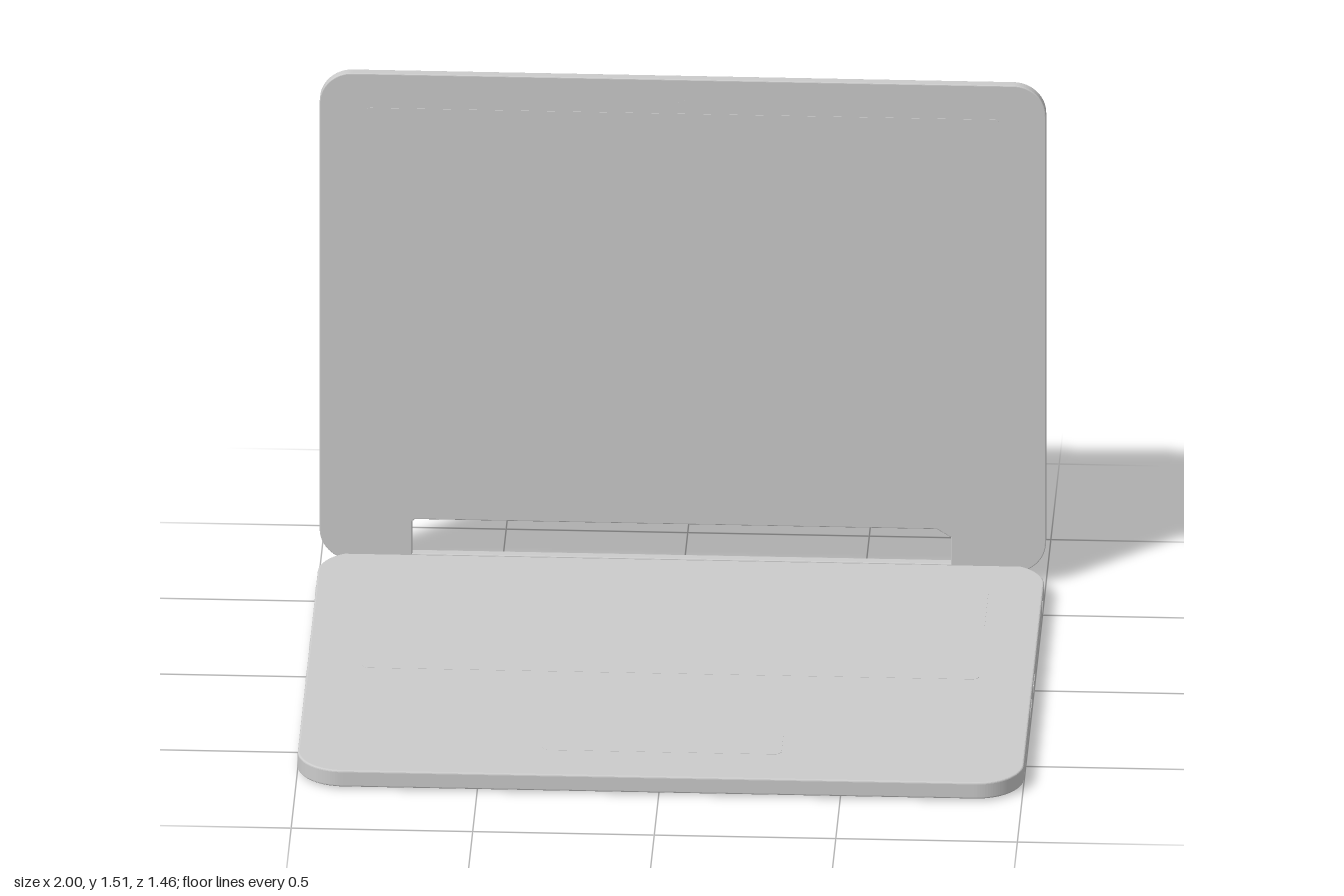
import * as THREE from 'three';

const material = new THREE.MeshStandardMaterial({ color: 0xcccccc });

// Trace a rounded rectangle centred on (0, cy) into a shape or path.
function roundedRect(w, h, r, cy = 0) {
  const s = new THREE.Shape();
  const x = w / 2, b = cy - h / 2, t = cy + h / 2, q = Math.PI / 2;
  s.absarc(x - r, t - r, r, 0, q);
  s.absarc(-x + r, t - r, r, q, 2 * q);
  s.absarc(-x + r, b + r, r, 2 * q, 3 * q);
  s.absarc(x - r, b + r, r, 3 * q, 4 * q);
  s.closePath();
  return s;
}

// Extrude from z = 0 to depth; the bevel stays inside the outline.
function slab(shape, depth, bevel = 0) {
  const g = new THREE.ExtrudeGeometry(shape, {
    depth: depth - 2 * bevel, curveSegments: 14, bevelEnabled: bevel > 0,
    bevelSize: bevel, bevelOffset: -bevel, bevelThickness: bevel, bevelSegments: 3,
  });
  return g.translate(0, 0, bevel);
}

function add(parent, name, geometry, x = 0, y = 0, z = 0) {
  const mesh = new THREE.Mesh(geometry, material);
  mesh.name = name;
  mesh.position.set(x, y, z);
  parent.add(mesh);
  return mesh;
}

// Horizontal slab lying on height y, centred on z.
function flat(parent, name, w, d, r, y, thickness, z, bevel = 0) {
  const g = slab(roundedRect(w, d, r), thickness, bevel).rotateX(-Math.PI / 2);
  return add(parent, name, g, 0, y, z);
}

function createBase() {
  const base = new THREE.Group();
  base.name = 'base';
  flat(base, 'bodyShell', 2, 1.453, 0.13, 0.005, 0.049, 0.0065, 0.005);
  flat(base, 'bottomCover', 1.97, 1.42, 0.12, 0, 0.01, 0.0065);
  // Flush panels on the top face
  flat(base, 'keyboardPanel', 1.7, 0.6, 0.02, 0.053, 0.0015, -0.25);
  flat(base, 'trackpad', 0.66, 0.42, 0.02, 0.053, 0.0015, 0.36);

  // Ports in both side walls
  for (const [side, centres] of [[1, [0.18, 0.015]], [-1, [0.08, -0.13]]]) {
    for (const z of centres) {
      const port = slab(roundedRect(0.082, 0.026, 0.006), 0.004);
      add(base, 'sidePort', port.rotateY(side * Math.PI / 2), side * 0.9975, 0.028, z);
    }
    const jack = new THREE.CylinderGeometry(0.02, 0.02, 0.004, 20).rotateZ(Math.PI / 2);
    add(base, 'audioJack', jack, side * 0.9995, 0.028, -0.485);
  }
  return base;
}

function createLid() {
  const lid = new THREE.Group();
  lid.name = 'lid';
  const bottom = 0.036, top = 1.508;
  const outline = roundedRect(2, top - bottom, 0.09, (top + bottom) / 2);
  // Long window above the hinge
  const hole = new THREE.Path();
  hole.moveTo(-0.745, 0.058);
  hole.lineTo(-0.745, 0.155);
  hole.lineTo(-0.738, 0.162);
  hole.lineTo(0.7, 0.162);
  hole.lineTo(0.738, 0.138);
  hole.lineTo(0.738, 0.058);
  hole.closePath();
  outline.holes.push(hole);
  add(lid, 'lidShell', slab(outline, 0.028, 0.003), 0, 0, -0.728);

  // Display panel and camera on the inner face
  add(lid, 'screen', slab(roundedRect(1.74, 1.2, 0.01), 0.002), 0, 0.805, -0.701);
  const lens = new THREE.CylinderGeometry(0.012, 0.012, 0.002, 20).rotateX(Math.PI / 2);
  add(lid, 'camera', lens, 0, 1.435, -0.7);

  // Shallow round plate on the outer face
  const plate = new THREE.CylinderGeometry(0.245, 0.245, 0.006, 48).rotateX(Math.PI / 2);
  add(lid, 'backPlate', plate, 0, 0.77, -0.729);

  // Hinge bar under the window
  const bar = new THREE.CylinderGeometry(0.011, 0.011, 1.5, 16).rotateZ(Math.PI / 2);
  add(lid, 'hingeBar', bar, 0, 0.047, -0.714);
  return lid;
}

export function createModel() {
  const model = new THREE.Group();
  model.name = 'laptop';
  model.add(createBase(), createLid());
  return model;
}
